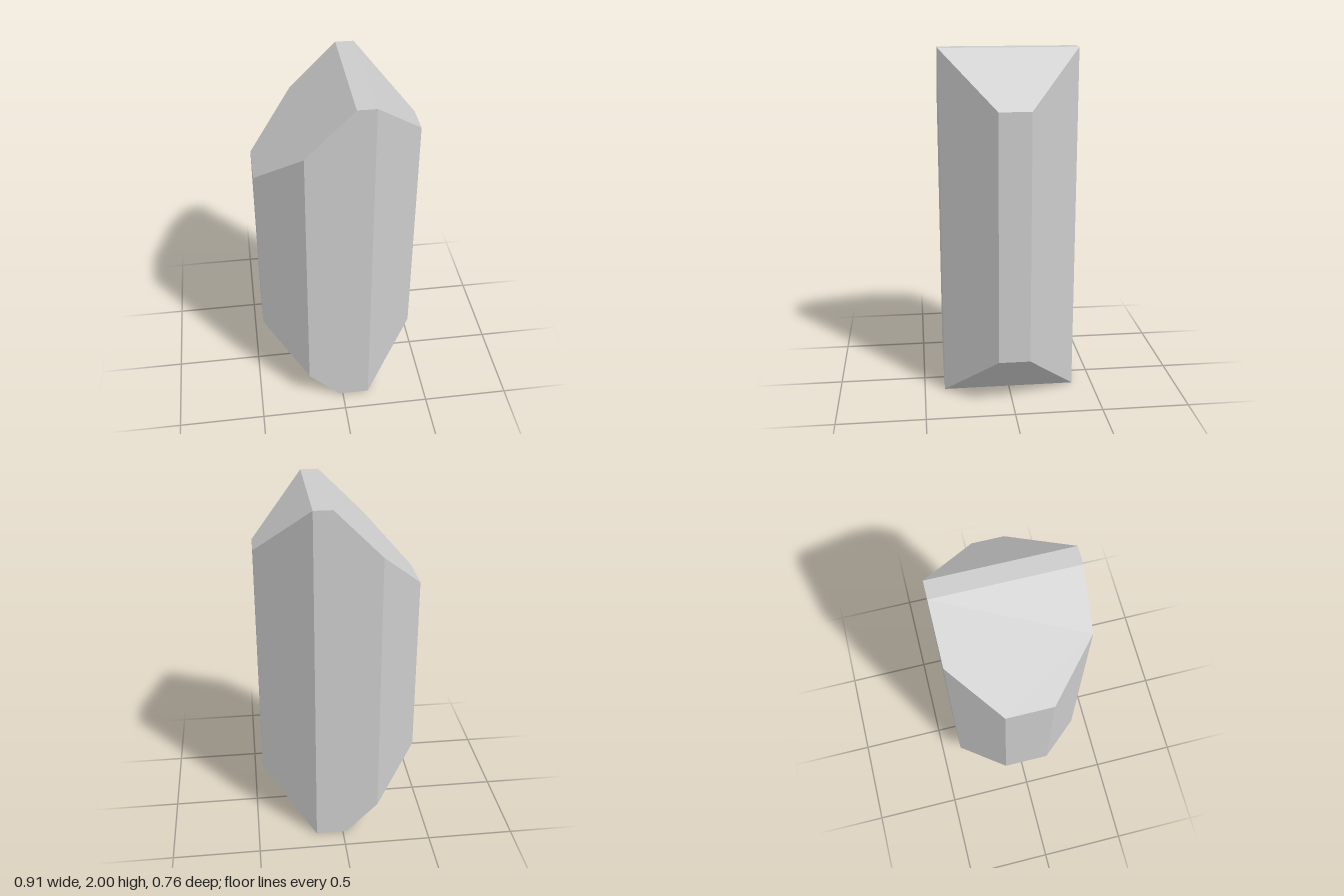
import * as THREE from 'three';
import { ConvexGeometry } from 'three/addons/geometries/ConvexGeometry.js';

// Cross-sections along x: [x, half depth, bottom y, top y].
// Eight-sided prism whose ends are cut into off-centre ridges.
const sections = [
  [-0.455, 0.132, 0.435, 1.49],  // left narrow side
  [-0.205, 0.382, 0.185, 1.74],  // start of the broad faces
  [-0.02, 0.382, 0, 1.925],      // start of the bottom ridge
  [0.055, 0.382, 0, 2],          // start of the top ridge
  [0.157, 0.382, 0, 2],          // end of both ridges
  [0.455, 0.088, 0.3, 1.7],      // right narrow side
];

export function createModel() {
  const group = new THREE.Group();
  group.name = 'crystal';

  const points = [];
  for (const [x, depth, bottom, top] of sections) {
    for (const y of [bottom, top]) {
      for (const side of [-1, 1]) points.push(new THREE.Vector3(x, y, side * depth));
    }
  }

  const crystal = new THREE.Mesh(
    new ConvexGeometry(points),
    new THREE.MeshStandardMaterial({ color: 0xcccccc, flatShading: true })
  );
  crystal.name = 'crystalShard';
  group.add(crystal);
  return group;
}
